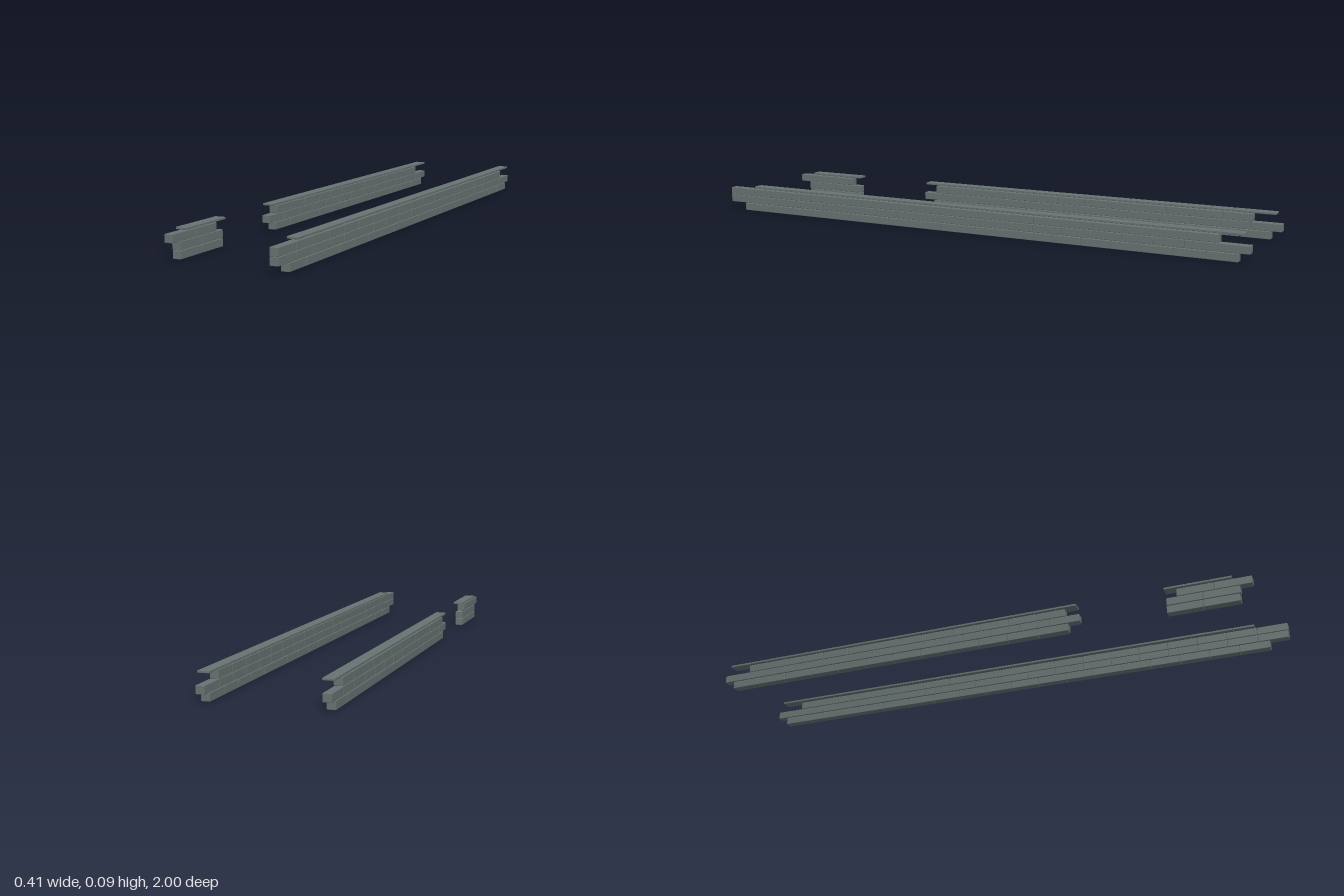
import * as THREE from 'three';
import { RoundedBoxGeometry } from 'three/addons/geometries/RoundedBoxGeometry.js';

export function createModel() {
  const model = new THREE.Group();
  const stone = new THREE.MeshStandardMaterial({ color: 0x687272 });
  stone.name = 'greyStone';

  const BRICK = 0.1055;           // nominal brick length
  const CAP = 0.0748;             // nominal coping slab length
  const WIDTH = 0.0285;
  const ROW_Y = [0.0135, 0.0415, 0.069];

  // A run of chamfered blocks laid end to end along z
  function course(group, name, x, y, width, height, from, to, nominal, radius) {
    const count = Math.max(1, Math.round((to - from) / nominal));
    const step = (to - from) / count;
    const geometry = new RoundedBoxGeometry(width, height, step - 0.001, 1, radius);
    for (let i = 0; i < count; i++) {
      const block = new THREE.Mesh(geometry, stone);
      block.name = name;
      block.position.set(x, y, from + (i + 0.5) * step);
      group.add(block);
    }
  }

  // Three staggered brick courses under a row of thin coping slabs
  function wall(name, brickX, capX, rows, caps) {
    const group = new THREE.Group();
    group.name = name;
    rows.forEach(([from, to], i) =>
      course(group, 'brick', brickX, ROW_Y[i], WIDTH, 0.0268, from, to, BRICK, 0.002));
    course(group, 'copingSlab', capX, 0.09, 0.0375, 0.0075, caps[0], caps[1], CAP, 0.0015);
    model.add(group);
  }

  // Courses are listed bottom, middle, top as [back z, front z]
  wall('leftWall', 0.189, 0.187,
    [[-0.963, 0.935], [-1, 1], [-0.9, 1]], [-0.98, 0.888]);
  wall('rightWallBack', -0.191, -0.1885,
    [[-0.963, 0.335], [-1, 0.375], [-0.9, 0.325]], [-0.98, 0.365]);
  wall('rightWallFront', -0.191, -0.1885,
    [[0.67, 0.91], [0.67, 0.912], [0.705, 0.952]], [0.664, 0.888]);

  return model;
}
